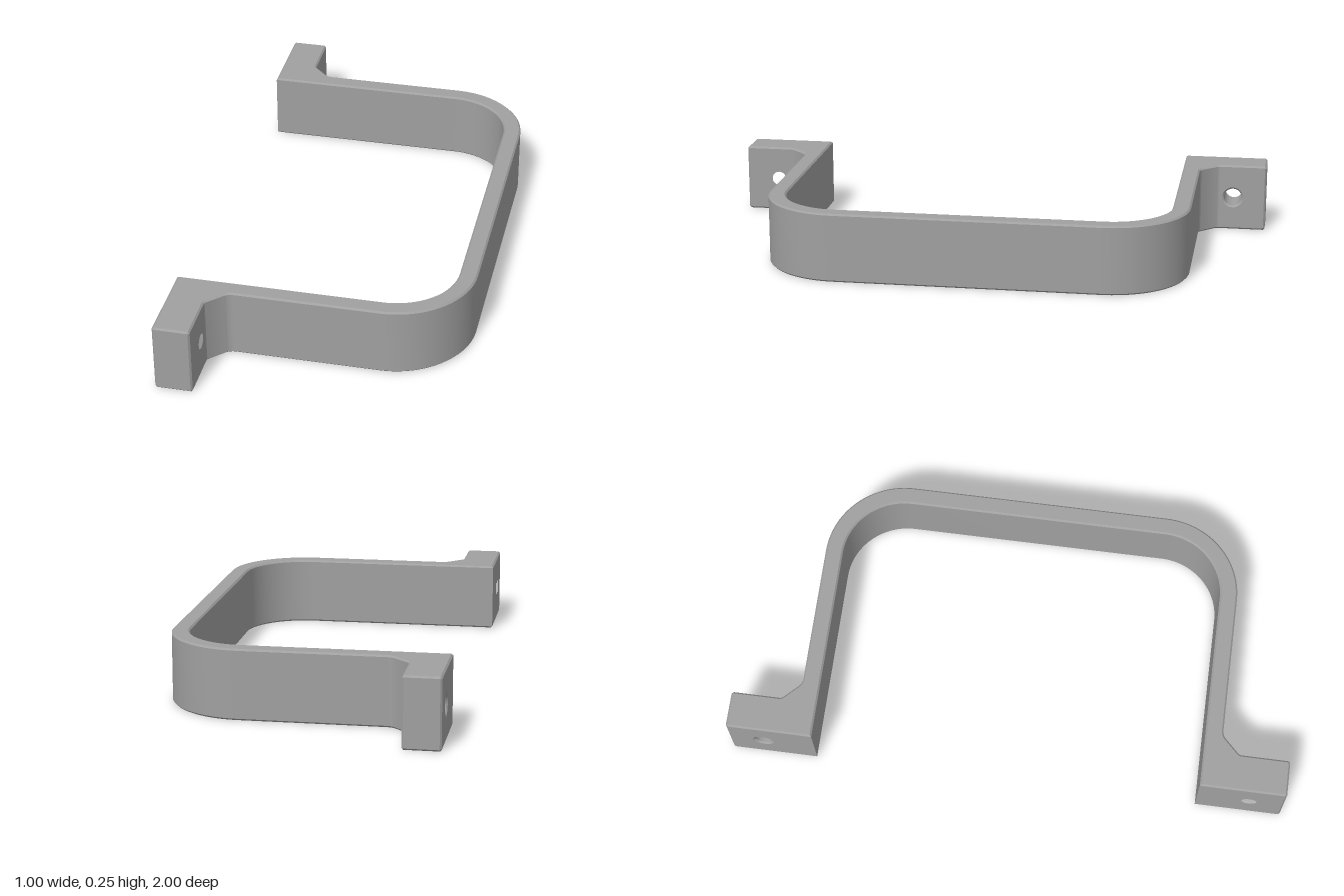
import * as THREE from 'three';
import { toCreasedNormals } from 'three/addons/utils/BufferGeometryUtils.js';

const H = 0.247;   // height of the bar
const B = 0.006;   // edge chamfer
const BACK = -0.5; // mounting plane

// Chamfered extrusion whose overall size matches the shape and depth exactly
function extrude(shape, depth) {
  const geometry = new THREE.ExtrudeGeometry(shape, {
    depth: depth - 2 * B, curveSegments: 12,
    bevelEnabled: true, bevelSegments: 1, bevelSize: B, bevelThickness: B, bevelOffset: -B,
  });
  return toCreasedNormals(geometry, 0.5);
}

// U-shaped bar with a blended gusset at each end, drawn in x and z
function barGeometry() {
  const s = new THREE.Shape();
  s.moveTo(BACK, 0.828);
  s.lineTo(-0.37, 0.828);
  s.quadraticCurveTo(-0.37, 0.82, -0.362, 0.812);
  s.lineTo(-0.319, 0.769);
  s.quadraticCurveTo(-0.305, 0.755, -0.287, 0.755);
  s.lineTo(0.215, 0.755);
  s.absarc(0.215, 0.47, 0.285, Math.PI / 2, 0, true);
  s.lineTo(0.5, -0.47);
  s.absarc(0.215, -0.47, 0.285, 0, -Math.PI / 2, true);
  s.lineTo(-0.287, -0.755);
  s.quadraticCurveTo(-0.305, -0.755, -0.319, -0.769);
  s.lineTo(-0.362, -0.812);
  s.quadraticCurveTo(-0.37, -0.82, -0.37, -0.828);
  s.lineTo(BACK, -0.828);
  s.lineTo(BACK, -0.692);
  s.lineTo(0.215, -0.692);
  s.absarc(0.215, -0.47, 0.222, -Math.PI / 2, 0, false);
  s.lineTo(0.437, 0.47);
  s.absarc(0.215, 0.47, 0.222, 0, Math.PI / 2, false);
  s.lineTo(BACK, 0.692);
  s.closePath();
  return extrude(s, H).rotateX(Math.PI / 2).translate(0, H - B, 0);
}

// Mounting foot with a countersunk screw hole through it along x
function footGeometry(side) {
  const u = -side; // shape x becomes -z after turning
  const s = new THREE.Shape();
  s.moveTo(u * 0.8, 0);
  s.lineTo(u * (1 - B), 0);
  s.lineTo(u, B);
  s.lineTo(u, H - B);
  s.lineTo(u * (1 - B), H);
  s.lineTo(u * 0.8, H);
  s.closePath();
  const hole = new THREE.Path();
  hole.absarc(u * 0.877, H / 2, 0.033, 0, Math.PI * 2, true);
  s.holes.push(hole);
  return extrude(s, 0.13).rotateY(Math.PI / 2).translate(BACK + B, 0, 0);
}

export function createModel() {
  const group = new THREE.Group();
  group.name = 'pullHandle';
  const metal = new THREE.MeshStandardMaterial({ color: 0xa0a0a0 });
  metal.name = 'grey metal';

  const add = (name, geometry) => {
    const mesh = new THREE.Mesh(geometry, metal);
    mesh.name = name;
    group.add(mesh);
  };
  add('handleBar', barGeometry());
  add('frontFoot', footGeometry(1));
  add('backFoot', footGeometry(-1));
  return group;
}
